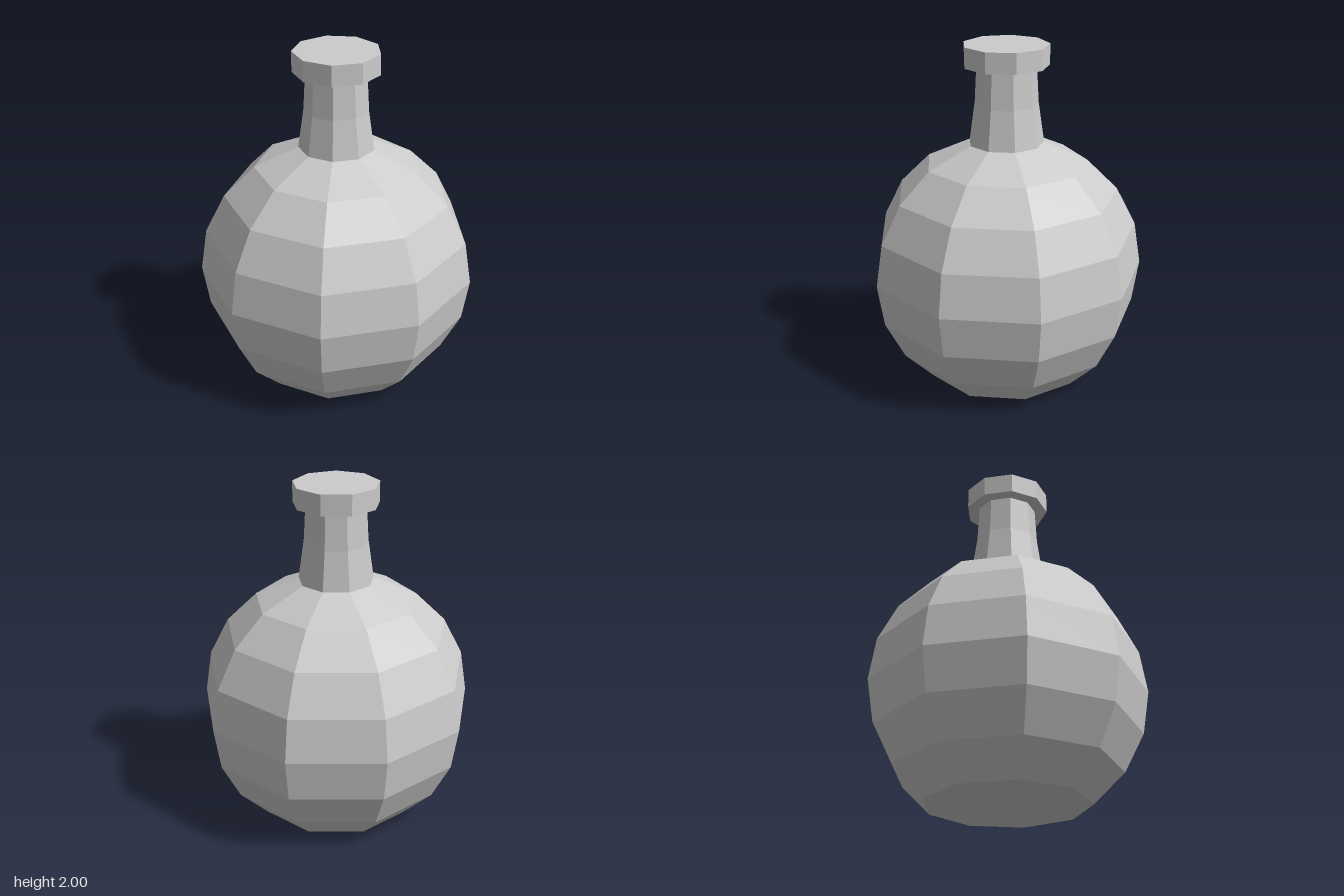
import * as THREE from 'three';

const SIDES = 9;
const material = new THREE.MeshStandardMaterial({ color: 0xcccccc, flatShading: true });

// Nine-sided turned part from [radius, height] pairs, bottom to top, with a flat face at the front
function turned(name, profile) {
  const points = profile.map(([r, y]) => new THREE.Vector2(r, y));
  const geometry = new THREE.LatheGeometry(points, SIDES, Math.PI / SIDES);
  const mesh = new THREE.Mesh(geometry, material);
  mesh.name = name;
  return mesh;
}

export function createModel() {
  const flask = new THREE.Group();
  flask.name = 'flask';

  // Round body: sphere rings every 18 degrees, cut flat at the base
  const radius = 0.81, centreY = 0.655;
  const body = [[0, 0]];
  for (let i = -3; i <= 3; i++) {
    const a = (i * Math.PI) / 10;
    body.push([radius * Math.cos(a), centreY + radius * Math.sin(a)]);
  }
  body[1][1] = 0;
  body.push([0.22, 1.43]);
  flask.add(turned('body', body));

  // Tapered neck
  flask.add(turned('neck', [[0.22, 1.43], [0.187, 1.66], [0.175, 1.88]]));

  // Stopper closing the neck
  flask.add(turned('stopper', [[0, 1.88], [0.249, 1.88], [0.249, 2], [0, 2]]));

  // Odd-sided outline: shift so the depth is centred
  for (const part of flask.children) {
    part.position.z = (radius * (1 - Math.cos(Math.PI / SIDES))) / 2;
  }
  return flask;
}
